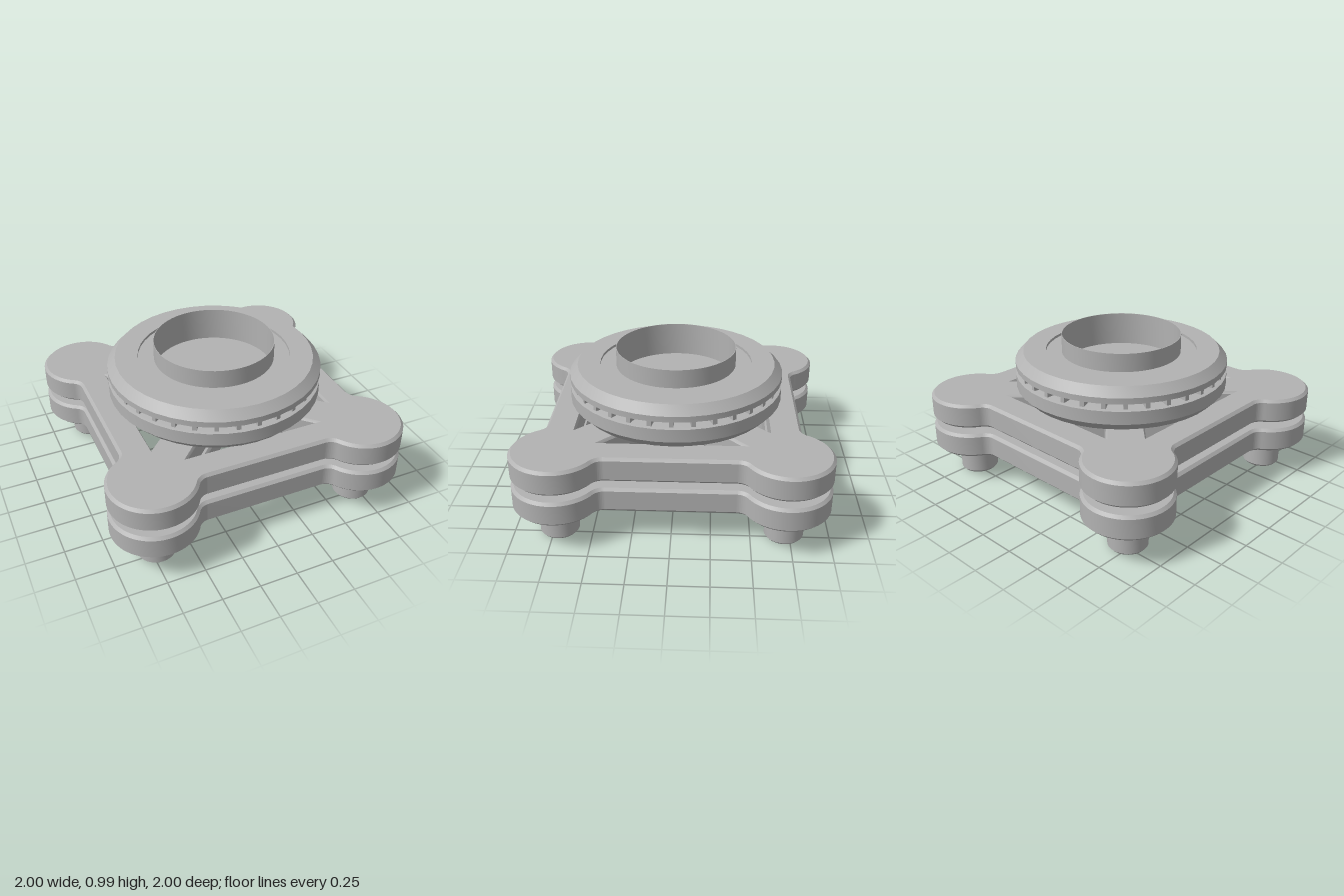
import * as THREE from 'three';
import { toCreasedNormals } from 'three/addons/utils/BufferGeometryUtils.js';

const metal = new THREE.MeshStandardMaterial({ color: 0xb2b2b2 });
metal.name = 'plain grey';

const CORNER = 0.715; // centre of each corner pad
const PAD = 0.283; // pad radius
const EDGE = 0.82; // straight side of the plate
const FILLET = 0.08;

function mesh(name, geometry) {
  const m = new THREE.Mesh(geometry, metal);
  m.name = name;
  return m;
}

// Turned part from [radius, height] pairs, listed up the outside
function turned(name, profile, segments) {
  const points = profile.map(([r, y]) => new THREE.Vector2(r, y));
  return mesh(name, toCreasedNormals(new THREE.LatheGeometry(points, segments), 0.45));
}

// Square frame with round corner pads, filleted sides and an X brace
function plateGeometry() {
  const shape = new THREE.Shape();
  const fy = EDGE + FILLET;
  const reach = PAD + FILLET;
  const fx = CORNER - Math.sqrt(reach ** 2 - (fy - CORNER) ** 2);
  const tangent = Math.atan2(fy - CORNER, fx - CORNER); // pad centre to upper fillet
  const mirror = Math.PI / 2 - tangent; // pad centre to right-hand fillet
  for (let i = 0; i < 4; i++) {
    const turn = (i * Math.PI) / 2;
    const c = Math.cos(turn), s = Math.sin(turn);
    const arc = (x, y, r, a, b, clockwise) =>
      shape.absarc(x * c - y * s, x * s + y * c, r, a + turn, b + turn, clockwise);
    arc(fy, fx, FILLET, Math.PI, mirror + Math.PI, true);
    arc(CORNER, CORNER, PAD, mirror, tangent, false);
    arc(fx, fy, FILLET, tangent + Math.PI, Math.PI * 1.5, true);
  }
  shape.closePath();

  // Four triangular openings between the braces
  const inner = 0.625, half = 0.455, tip = 0.17;
  for (let i = 0; i < 4; i++) {
    const c = Math.cos((i * Math.PI) / 2), s = Math.sin((i * Math.PI) / 2);
    const corners = [[inner, -half], [tip, 0], [inner, half]];
    shape.holes.push(new THREE.Path(
      corners.map(([x, y]) => new THREE.Vector2(x * c - y * s, x * s + y * c))));
  }

  const bevel = 0.018;
  const g = new THREE.ExtrudeGeometry(shape, {
    depth: 0.165 - 2 * bevel, bevelEnabled: true, bevelSize: bevel,
    bevelThickness: bevel, bevelOffset: -bevel, bevelSegments: 1, curveSegments: 20,
  });
  g.translate(0, 0, bevel);
  g.rotateX(-Math.PI / 2);
  return toCreasedNormals(g, 0.45);
}

export function createModel() {
  const model = new THREE.Group();
  model.name = 'turntableBase';

  // Two stacked frames
  const plate = plateGeometry();
  [['lowerFrame', 0.21], ['upperFrame', 0.425]].forEach(([name, y]) => {
    const m = mesh(name, plate);
    m.position.y = y;
    model.add(m);
  });

  // Feet and the spacers between the frames
  for (const x of [-CORNER, CORNER]) {
    for (const z of [-CORNER, CORNER]) {
      const foot = turned('foot', [
        [0, 0], [0.112, 0], [0.125, 0.015], [0.125, 0.18], [0.165, 0.212],
      ], 32);
      const spacer = turned('spacer', [[0.125, 0.37], [0.125, 0.395], [0.165, 0.427]], 32);
      foot.position.set(x, 0, z);
      spacer.position.set(x, 0, z);
      model.add(foot, spacer);
    }
  }

  // Bearing: lower race, recessed core, upper race
  model.add(turned('lowerRace', [
    [0, 0.588], [0.655, 0.588], [0.712, 0.648], [0.712, 0.735],
    [0.69, 0.74], [0, 0.74],
  ], 40));
  model.add(turned('bearingCore', [[0.62, 0.738], [0.62, 0.777]], 40));
  model.add(turned('upperRace', [
    [0.4, 0.775], [0.69, 0.775], [0.712, 0.785], [0.712, 0.823],
    [0.658, 0.88], [0.507, 0.88], [0.507, 0.862], [0.397, 0.862],
  ], 40));

  // Small bars around the bearing gap
  const bars = new THREE.Group();
  bars.name = 'bearingBars';
  const barGeometry = new THREE.BoxGeometry(0.028, 0.037, 0.08);
  for (let i = 0; i < 32; i++) {
    const a = (i * Math.PI) / 16;
    const bar = mesh('bearingBar', barGeometry);
    bar.position.set(Math.sin(a) * 0.65, 0.7575, Math.cos(a) * 0.65);
    bar.rotation.y = a;
    bars.add(bar);
  }
  model.add(bars);

  // Thin open collar with a sunken floor
  model.add(turned('collar', [
    [0.4, 0.74], [0.4, 0.985], [0.396, 0.985], [0.396, 0.76], [0, 0.76],
  ], 64));

  return model;
}
